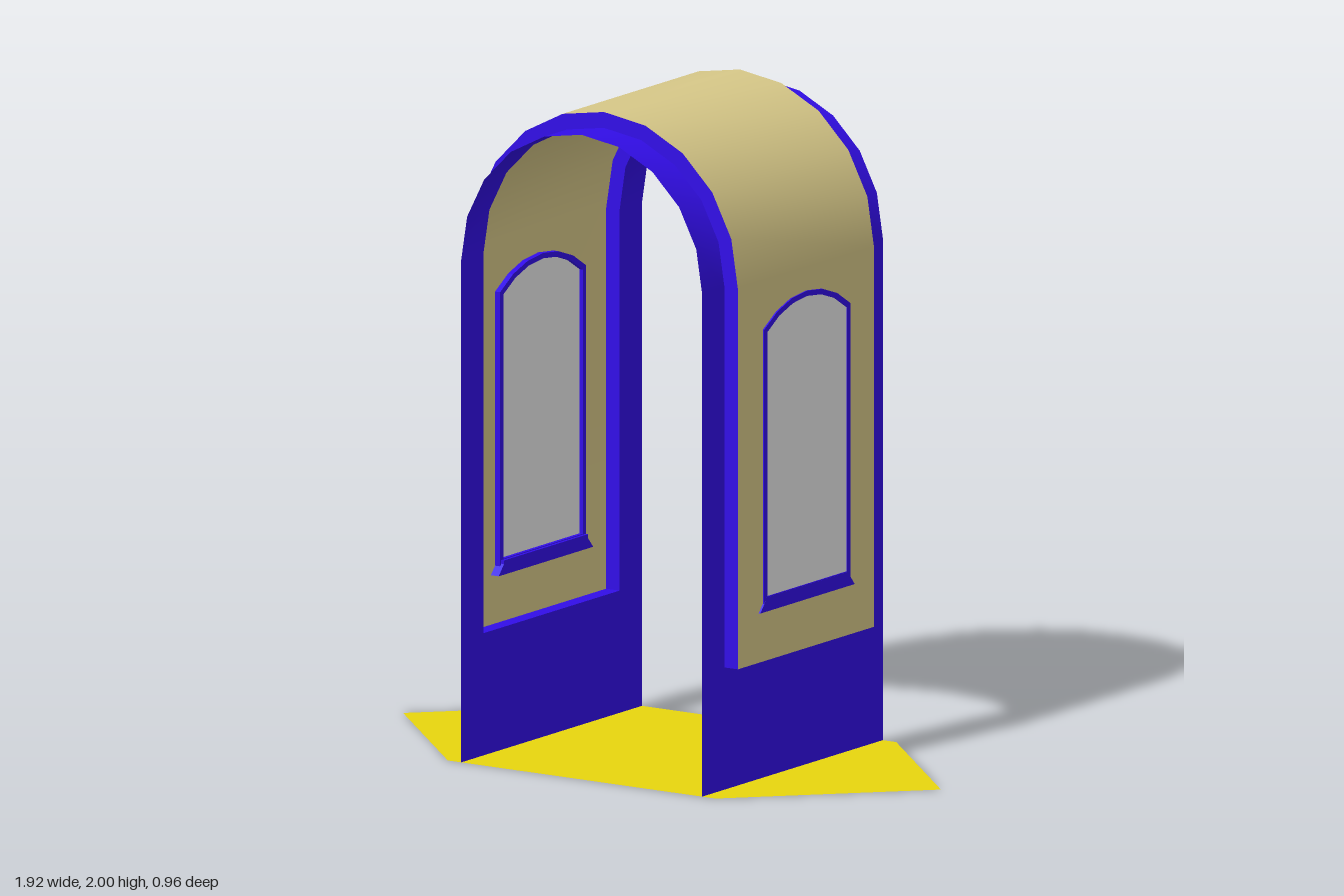
import * as THREE from 'three';

const OUTER = 0.478, INNER = 0.43;   // arch radii
const SPRING = 1.522, BAND_BASE = 0.37;
const BAND_Z = 0.36, END_Z = 0.478;

function material(name, color) {
  const m = new THREE.MeshStandardMaterial({ color, side: THREE.DoubleSide });
  m.name = name;
  return m;
}

// Upside-down U, from the left foot over the top to the right foot, at depth z
function archLine(radius, z) {
  const pts = [new THREE.Vector3(radius, BAND_BASE, z)];
  for (let i = 0; i <= 10; i++) {
    const a = (i / 10) * Math.PI;
    pts.push(new THREE.Vector3(Math.cos(a) * radius, SPRING + Math.sin(a) * radius, z));
  }
  pts.push(new THREE.Vector3(-radius, BAND_BASE, z));
  return pts;
}

// Sheet stretched between two lines with the same number of points
function sheet(a, b) {
  const index = [];
  for (let i = 0; i < a.length - 1; i++) {
    const j = i + a.length;
    index.push(i, j, i + 1, j, j + 1, i + 1);
  }
  const g = new THREE.BufferGeometry().setFromPoints([...a, ...b]);
  g.setIndex(index);
  g.computeVertexNormals();
  return g;
}

// Window outline with a shallow arched head
function windowOutline(half, base, shoulder, crown) {
  const rise = crown - shoulder;
  const r = (half * half + rise * rise) / (2 * rise);
  const spread = Math.asin(half / r);
  const pts = [new THREE.Vector2(-half, base), new THREE.Vector2(half, base)];
  for (let i = 0; i <= 6; i++) {
    const a = spread * (1 - i / 3);
    pts.push(new THREE.Vector2(Math.sin(a) * r, crown - r + Math.cos(a) * r));
  }
  return pts;
}

// Extrude a (z, y) outline through the wall from x0 to x1
function throughWall(shape, x0, x1) {
  const g = new THREE.ExtrudeGeometry(shape, { depth: x1 - x0, bevelEnabled: false });
  return g.rotateY(Math.PI / 2).translate(x0, 0, 0);
}

export function createModel() {
  const blue = material('blue trim', 0x3810ff);
  const tan = material('tan shell', 0xd7c888);
  const yellow = material('yellow floor', 0xffec10);
  const white = material('white pane', 0xffffff);

  const model = new THREE.Group();
  model.name = 'archedPassage';
  const add = (parent, name, geometry, mat) => {
    const mesh = new THREE.Mesh(geometry, mat);
    mesh.name = name;
    parent.add(mesh);
  };

  // Pointed six-sided floor
  const floor = new THREE.Shape([
    [0.96, 0], [0.478, 0.478], [-0.478, 0.478], [-0.96, 0], [-0.478, -0.478], [0.478, -0.478],
  ].map(([x, y]) => new THREE.Vector2(x, y)));
  add(model, 'floor', new THREE.ShapeGeometry(floor).rotateX(-Math.PI / 2), yellow);

  // Raised outer shell
  add(model, 'shell', sheet(archLine(OUTER, BAND_Z), archLine(OUTER, -BAND_Z)), tan);

  // End arches and the rims that step out to the shell
  for (const s of [1, -1]) {
    const end = s > 0 ? 'front' : 'back';
    const outerEdge = archLine(INNER, s * END_Z), innerEdge = archLine(INNER, s * BAND_Z);
    add(model, end + 'Arch',
      s > 0 ? sheet(outerEdge, innerEdge) : sheet(innerEdge, outerEdge), blue);
    const shellEdge = archLine(OUTER, s * BAND_Z);
    add(model, end + 'Rim',
      s > 0 ? sheet(innerEdge, shellEdge).clone() : sheet(shellEdge, innerEdge), blue);
  }

  // Side walls, each with a ledge and a window
  const frameShape = new THREE.Shape(windowOutline(0.228, 0.545, 1.375, 1.453));
  frameShape.holes.push(new THREE.Path(windowOutline(0.211, 0.565, 1.365, 1.437)));
  const paneShape = new THREE.Shape(windowOutline(0.215, 0.555, 1.367, 1.44));
  const sillShape = new THREE.Shape([
    [-0.25, 0.52], [0.25, 0.52], [0.222, 0.552], [0.222, 0.563], [-0.222, 0.563], [-0.222, 0.552],
  ].map(([x, y]) => new THREE.Vector2(x, y)));

  for (const side of ['left', 'right']) {
    const wall = new THREE.Group();
    wall.name = side + 'Wall';
    if (side === 'right') wall.rotation.y = Math.PI;
    const lower = new THREE.PlaneGeometry(2 * END_Z, BAND_BASE)
      .rotateY(Math.PI / 2).translate(INNER, BAND_BASE / 2, 0);
    add(wall, 'lowerWall', lower, blue);
    const ledge = new THREE.PlaneGeometry(OUTER - INNER, 2 * BAND_Z)
      .rotateX(-Math.PI / 2).translate((OUTER + INNER) / 2, BAND_BASE, 0);
    add(wall, 'ledge', ledge, blue);
    add(wall, 'windowPane', throughWall(paneShape, 0.473, 0.48), white);
    add(wall, 'windowFrame', throughWall(frameShape, 0.46, 0.483), blue);
    add(wall, 'windowSill', throughWall(sillShape, 0.45, 0.484), blue);
    model.add(wall);
  }
  return model;
}
